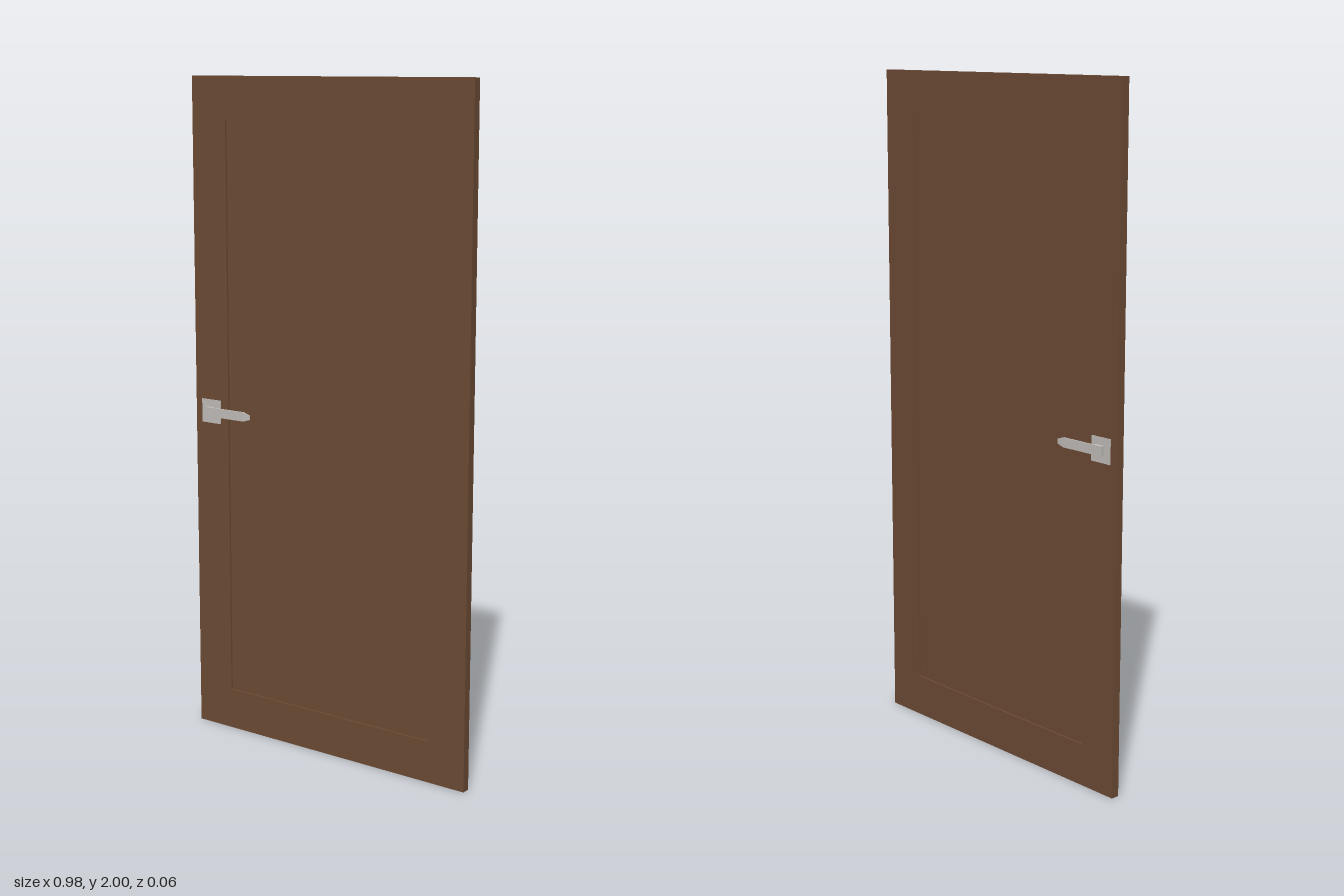
import * as THREE from 'three';

export function createModel() {
  const wood = new THREE.MeshStandardMaterial({ name: 'brown wood', color: 0x6b4a34 });
  const metal = new THREE.MeshStandardMaterial({ name: 'brushed metal', color: 0xbfbcb8 });
  const door = new THREE.Group();
  door.name = 'door';

  const W = 0.49, H = 2, T = 0.0125; // half width, height, half thickness
  const inset = 0.125, recess = 0.006;

  function add(parent, name, geometry, material, x = 0, y = 0, z = 0) {
    const mesh = new THREE.Mesh(geometry, material);
    mesh.name = name;
    mesh.position.set(x, y, z);
    parent.add(mesh);
    return mesh;
  }

  function rectangle(path, x0, y0, x1, y1) {
    path.moveTo(x0, y0).lineTo(x1, y0).lineTo(x1, y1).lineTo(x0, y1).closePath();
    return path;
  }

  // Frame with an opening for the recessed panel
  const outline = rectangle(new THREE.Shape(), -W, 0, W, H);
  outline.holes.push(rectangle(new THREE.Path(), -W + inset, inset, W - inset, H - inset));
  const frame = new THREE.ExtrudeGeometry(outline, { depth: 2 * T, bevelEnabled: false });
  add(door, 'frame', frame, wood, 0, 0, -T);

  // Panel set back on both faces
  const panel = new THREE.BoxGeometry(2 * (W - inset), H - 2 * inset, 2 * (T - recess));
  add(door, 'recessedPanel', panel, wood, 0, H / 2, 0);

  // Lever tip: a box whose +x end is narrowed
  function taperedBox(w, h, d, sy, sz) {
    const geometry = new THREE.BoxGeometry(w, h, d);
    const p = geometry.attributes.position;
    for (let i = 0; i < p.count; i++) {
      if (p.getX(i) > 0) p.setXYZ(i, p.getX(i), p.getY(i) * sy, p.getZ(i) * sz);
    }
    geometry.computeVertexNormals();
    return geometry;
  }

  // One handle on each side
  for (const side of [1, -1]) {
    const handle = new THREE.Group();
    handle.name = side > 0 ? 'frontHandle' : 'backHandle';
    handle.position.y = 1;
    add(handle, 'backPlate', new THREE.BoxGeometry(0.072, 0.072, 0.003), metal, -0.43, 0, side * 0.0135);
    add(handle, 'neck', new THREE.BoxGeometry(0.032, 0.028, 0.014), metal, -0.428, 0, side * 0.021);
    add(handle, 'lever', new THREE.BoxGeometry(0.117, 0.028, 0.005), metal, -0.3535, 0, side * 0.0255);
    add(handle, 'leverTip', taperedBox(0.023, 0.028, 0.005, 0.5, 0.4), metal, -0.2835, 0, side * 0.0255);
    door.add(handle);
  }

  return door;
}
